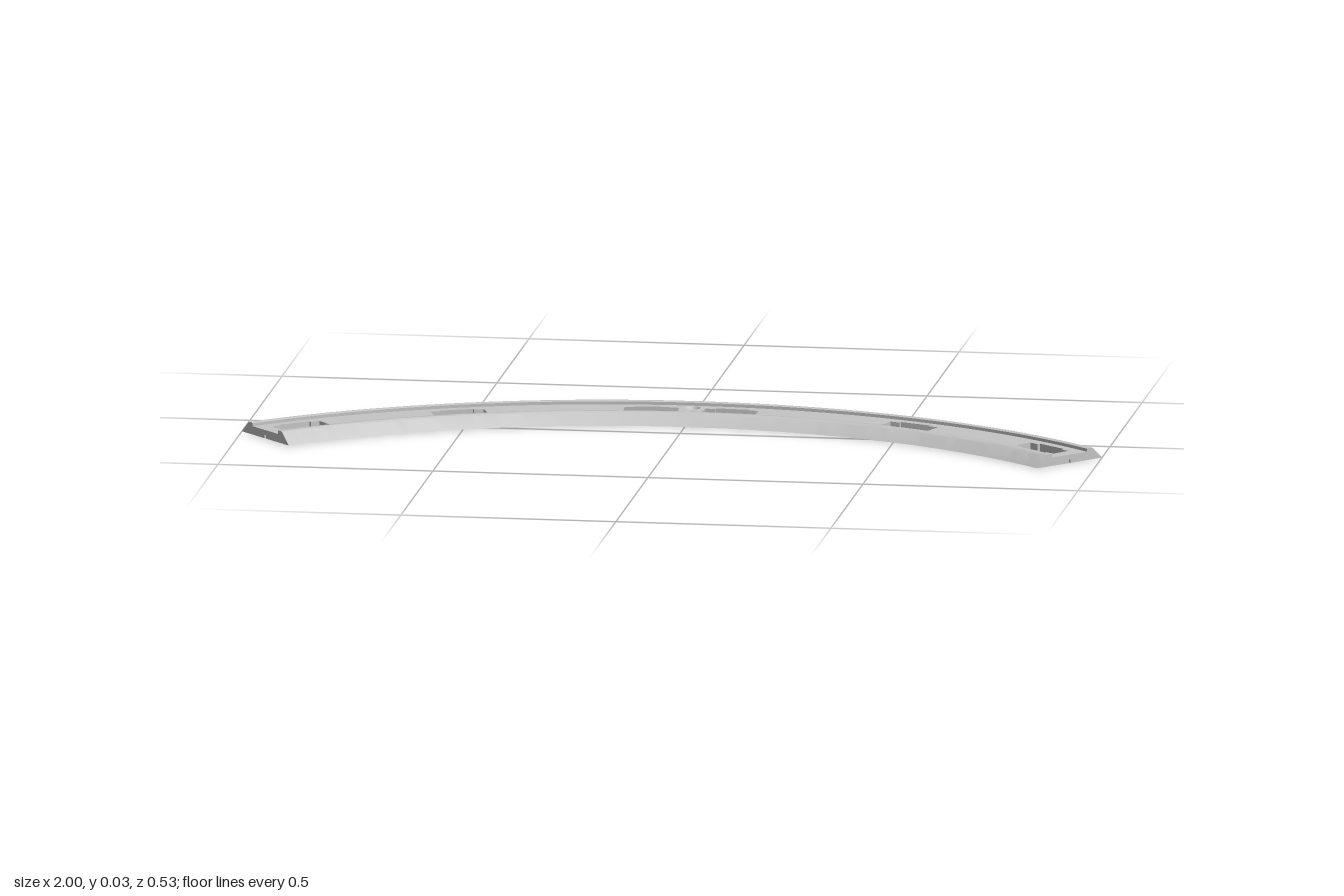
import * as THREE from 'three';
import { toCreasedNormals } from 'three/addons/utils/BufferGeometryUtils.js';

const OUTER = 1.48, INNER = 1.288;           // base radii of the curved track
const MID = (OUTER + INNER) / 2;
const HALF = Math.asin(1 / OUTER);           // half of the swept angle
const CZ = 1.215;                            // z of the arc centre
const CHANNEL = 0.052;                       // half width of the sunken road
const FLOOR = 0.0195, GROOVE_TOP = 0.008, GROOVE = 0.0025;
const SEG = 96;
const SLOTS = [-38.5, -22.2, -3.8, 3.8, 22.2, 38.5].map(THREE.MathUtils.degToRad);
const SLOT_END = 0.063;

// plan point: u along the track, v across it, around angle t
const plan = (t, u, v) => new THREE.Vector2(
  (MID + v) * Math.sin(t) + u * Math.cos(t),
  (MID + v) * Math.cos(t) - u * Math.sin(t) - CZ);

const arc = (v, t0, t1, n) =>
  Array.from({ length: n + 1 }, (_, i) => plan(t0 + (t1 - t0) * i / n, 0, v));

// upper edge of a slot with narrower ends
const SLOT_EDGE = [[-SLOT_END, 0.023], [-0.04, 0.023], [-0.04, 0.031],
  [0.04, 0.031], [0.04, 0.023], [SLOT_END, 0.023]];

const circle = (v, r) => new THREE.Path(Array.from({ length: 24 }, (_, i) => {
  const a = i / 24 * Math.PI * 2;
  return plan(0, Math.cos(a) * r, v + Math.sin(a) * r);
}));

function slab(shape, y0, y1) {
  const g = new THREE.ExtrudeGeometry(shape, { depth: y1 - y0, bevelEnabled: false });
  return g.rotateX(-Math.PI / 2).translate(0, y0, 0);
}

export function createModel() {
  const group = new THREE.Group();
  const grey = new THREE.MeshStandardMaterial({ color: 0xc5c5c5, side: THREE.DoubleSide });
  grey.name = 'track light grey';
  const add = (name, geometry) => {
    const mesh = new THREE.Mesh(geometry, grey);
    mesh.name = name;
    group.add(mesh);
  };

  // road floor with connector slots and screw holes
  const road = new THREE.Shape([...arc(CHANNEL, -HALF, HALF, SEG), ...arc(-CHANNEL, HALF, -HALF, SEG)]);
  for (const t of SLOTS) {
    const top = SLOT_EDGE.map(([u, v]) => plan(t, u, v));
    const bottom = SLOT_EDGE.map(([u, v]) => plan(t, u, -v)).reverse();
    road.holes.push(new THREE.Path([...top, ...bottom]));
  }
  for (const s of [1, -1]) road.holes.push(circle(s * 0.027, 0.018));
  add('roadFloor', slab(road, GROOVE_TOP, FLOOR));

  // underside halves, parted by the centre groove
  for (const s of [1, -1]) {
    const edge = [];
    const reach = SLOT_END / MID;
    let from = -HALF;
    for (const t of SLOTS) {
      edge.push(...arc(s * GROOVE, from, t - reach, 12));
      edge.push(...SLOT_EDGE.map(([u, v]) => plan(t, u, s * v)));
      from = t + reach;
    }
    edge.push(...arc(s * GROOVE, from, HALF, 12));
    const half = new THREE.Shape([...edge, ...arc(s * CHANNEL, HALF, -HALF, SEG)]);
    half.holes.push(circle(s * 0.027, 0.012));
    add(s > 0 ? 'outerUnderside' : 'innerUnderside', slab(half, 0, GROOVE_TOP));

    // countersink of the screw hole
    const funnel = new THREE.LatheGeometry(
      [new THREE.Vector2(0.012, GROOVE_TOP), new THREE.Vector2(0.018, FLOOR)], 24);
    add('screwHole', funnel.translate(0, 0, CZ - MID - s * 0.027));
  }

  // sloped rims on both sides, swept around the arc with flat end faces
  const section = [[CHANNEL, 0], [0.096, 0], [0.072, 0.0235], [0.0685, 0.0265],
    [0.064, 0.028], [0.0545, 0.028], [CHANNEL, 0.0265]];
  for (const s of [1, -1]) {
    const name = s > 0 ? 'outerRim' : 'innerRim';
    const pts = section.map(([v, y]) => new THREE.Vector2(MID + s * v, y));
    if (s < 0) pts.reverse();
    const sweep = new THREE.LatheGeometry([...pts, pts[0].clone()], SEG, Math.PI - HALF, HALF * 2);
    add(name, toCreasedNormals(sweep.translate(0, 0, CZ), 0.6));
    for (const t of [-HALF, HALF]) {
      const cap = new THREE.ShapeGeometry(new THREE.Shape(pts));
      add(name + 'End', cap.rotateY(Math.PI / 2 - t).translate(0, 0, CZ));
    }
  }
  return group;
}
